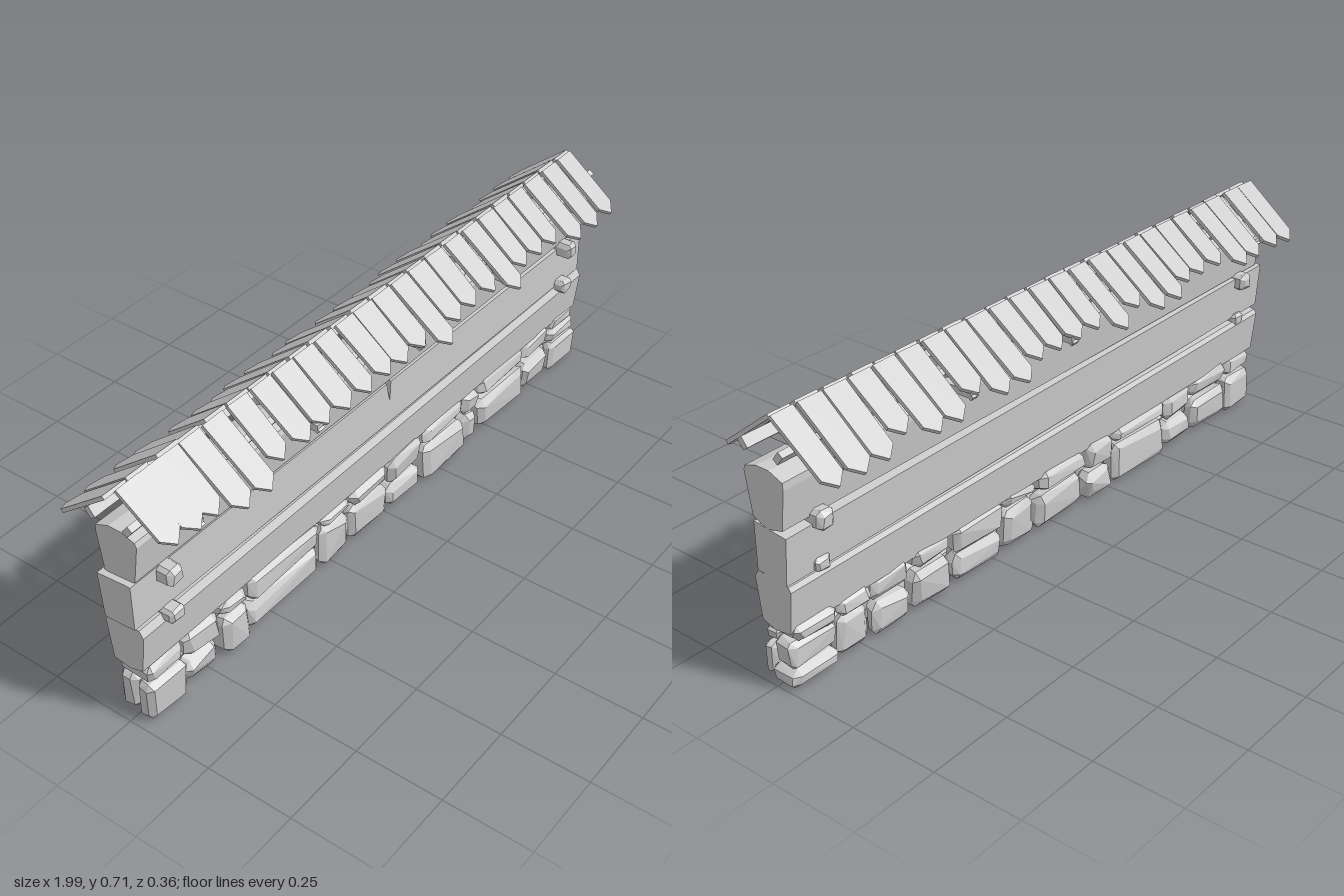
import * as THREE from 'three';
import { ConvexGeometry } from 'three/addons/geometries/ConvexGeometry.js';

const material = new THREE.MeshStandardMaterial({ color: 0xcccccc, flatShading: true });

function seeded(seed) {
  return () => {
    seed = (seed * 16807) % 2147483647;
    return seed / 2147483647;
  };
}

function add(parent, name, geometry) {
  const mesh = new THREE.Mesh(geometry, material);
  mesh.name = name;
  parent.add(mesh);
  return mesh;
}

// Block with chamfered corners, each corner nudged by the jitter amount
function chamferedBlock(x0, x1, y0, y1, z0, z1, cut, jitter, rand) {
  const points = [];
  const c = [(x0 + x1) / 2, (y0 + y1) / 2, (z0 + z1) / 2];
  const h = [(x1 - x0) / 2, (y1 - y0) / 2, (z1 - z0) / 2];
  for (const sx of [-1, 1]) for (const sy of [-1, 1]) for (const sz of [-1, 1]) {
    const s = [sx, sy, sz];
    const corner = h.map((v) => v - rand() * jitter);
    for (let axis = 0; axis < 3; axis++) {
      const p = corner.map((v, i) => c[i] + s[i] * (i === axis ? v : v - Math.min(cut * (0.6 + rand() * 0.8), v * 0.6)));
      points.push(new THREE.Vector3(...p));
    }
  }
  return new ConvexGeometry(points);
}

// Long timber: a convex [z, y] section swept along x, dropping by 'sag' towards +x
function timber(section, x0, x1, sag) {
  const points = [];
  for (const [z, y] of section) {
    points.push(new THREE.Vector3(x0, y + sag / 2, z), new THREE.Vector3(x1, y - sag / 2, z));
  }
  return new ConvexGeometry(points);
}

function buildStones() {
  const group = new THREE.Group();
  group.name = 'stoneBase';
  const rand = seeded(77);
  // Each column: left x, right x, height of the joint between its two stones
  const front = [
    [-0.84, -0.71, 0.09], [-0.71, -0.60, 0.13], [-0.60, -0.30, 0.10], [-0.30, -0.17, 0.135],
    [-0.17, 0.0, 0.125], [0.0, 0.16, 0.085], [0.16, 0.37, 0.125], [0.37, 0.45, 0.10],
    [0.45, 0.70, 0.115], [0.70, 0.84, 0.105]];
  const back = [
    [-0.84, -0.66, 0.11], [-0.66, -0.52, 0.09], [-0.52, -0.26, 0.125], [-0.26, -0.13, 0.09],
    [-0.13, 0.08, 0.115], [0.08, 0.22, 0.13], [0.22, 0.42, 0.09], [0.42, 0.58, 0.12],
    [0.58, 0.72, 0.10], [0.72, 0.84, 0.12]];
  for (const [columns, side] of [[front, 1], [back, -1]]) {
    for (const [x0, x1, joint] of columns) {
      for (const [y0, y1] of [[0.005, joint], [joint + 0.002, 0.185]]) {
        const out = 0.055 + rand() * 0.013;
        const z = side > 0 ? [-0.005, out] : [-out, 0.005];
        add(group, 'stone', chamferedBlock(x0 + 0.002, x1 - 0.002, y0, y1, ...z, 0.018, 0.01, rand));
      }
    }
  }
  // End stones
  const ends = [
    [-0.98, -0.84, 0.0, 0.125, 0.0, 0.062], [-0.97, -0.84, 0.0, 0.12, -0.064, 0.0],
    [-0.97, -0.84, 0.12, 0.182, -0.06, 0.055],
    [0.84, 0.995, 0.0, 0.055, -0.062, 0.03], [0.84, 0.985, 0.0, 0.10, 0.02, 0.063],
    [0.84, 0.998, 0.055, 0.136, -0.06, 0.02], [0.84, 0.98, 0.10, 0.15, 0.0, 0.058],
    [0.85, 0.985, 0.13, 0.185, -0.07, 0.05]];
  for (const e of ends) add(group, 'endStone', chamferedBlock(...e, 0.016, 0.006, rand));
  return group;
}

function buildWall() {
  const group = new THREE.Group();
  group.name = 'timberWall';
  add(group, 'lowerBeam', timber([
    [0.043, 0.175], [0.0, 0.162], [-0.05, 0.17], [-0.063, 0.29],
    [-0.055, 0.302], [0.045, 0.31], [0.057, 0.29]], -0.98, 0.99, 0.012));
  add(group, 'middleBeam', timber([
    [0.025, 0.312], [-0.05, 0.308], [-0.06, 0.44], [0.025, 0.448]], -0.992, 0.99, 0.025));
  add(group, 'upperBeam', timber([
    [0.045, 0.458], [0.0, 0.438], [-0.05, 0.45], [-0.064, 0.56], [-0.063, 0.58],
    [-0.02, 0.597], [0.02, 0.597], [0.058, 0.585], [0.063, 0.572]], -0.975, 0.99, 0.012));

  // Front face of the middle beam, with a split in its upper edge
  const face = new THREE.Shape([
    [-0.992, 0.327], [0.99, 0.305], [0.99, 0.437], [0.014, 0.449],
    [0.01, 0.388], [0.002, 0.42], [-0.004, 0.45], [-0.992, 0.461]].map(([x, y]) => new THREE.Vector2(x, y)));
  add(group, 'middleBeamFace', new THREE.ExtrudeGeometry(face, { depth: 0.021, bevelEnabled: false }))
    .position.z = 0.024;

  // Pegs through the joints
  const rand = seeded(9);
  for (const x of [-0.88, 0.88]) {
    add(group, 'upperPeg', chamferedBlock(x - 0.028, x + 0.028, 0.41, 0.463, -0.087, 0.091, 0.012, 0.003, rand));
    add(group, 'lowerPeg', chamferedBlock(x - 0.026, x + 0.026, 0.288, 0.33, -0.066, 0.081, 0.009, 0.003, rand));
  }
  return group;
}

// One roof slope facing +z; each board is a pointed plank hanging from the ridge
function buildSlope(name, centres, longOnes, rand) {
  const slope = new THREE.Group();
  slope.name = name;
  slope.position.set(0, 0.703, -0.002);
  slope.rotation.x = Math.atan2(0.135, 0.172) - Math.PI / 2;
  centres.forEach((x, i) => {
    const length = (longOnes.includes(i) ? 0.216 : 0.18) + rand() * 0.006;
    const w = 0.034 + rand() * 0.004;
    const outline = new THREE.Shape([
      [-w, 0], [-w * 0.95, -length + 0.03], [0, -length], [w * 0.95, -length + 0.03], [w, 0]]
      .map(([u, v]) => new THREE.Vector2(u, v)));
    const board = add(slope, 'roofBoard', new THREE.ExtrudeGeometry(outline, { depth: 0.011, bevelEnabled: false }));
    board.position.set(x, 0, rand() * 0.003);
    board.rotation.z = (rand() - 0.5) * 0.05;
  });
  // Purlin under the boards
  add(slope, 'purlin', new THREE.BoxGeometry(1.985, 0.018, 0.03)).position.set(0, -0.088, -0.017);
  // Rafters
  for (const x of [-0.84, -0.4, 0.03, 0.425, 0.86].map((v) => (name === 'backSlope' ? -v : v))) {
    add(slope, 'rafter', new THREE.BoxGeometry(0.022, 0.18, 0.014)).position.set(x, -0.092, -0.008);
  }
  return slope;
}

function buildRoof() {
  const group = new THREE.Group();
  group.name = 'roof';
  const rand = seeded(41);
  const frontX = [-0.93, -0.86, -0.795, -0.72, -0.64, -0.55, -0.465, -0.38, -0.3, -0.22, -0.135, -0.06,
    0.02, 0.1, 0.18, 0.26, 0.345, 0.43, 0.51, 0.585, 0.66, 0.75, 0.84, 0.925];
  const backX = [-0.96, -0.885, -0.785, -0.715, -0.62, -0.54, -0.465, -0.39, -0.31, -0.23, -0.145, -0.06,
    0.02, 0.1, 0.18, 0.265, 0.345, 0.425, 0.515, 0.6, 0.68, 0.76, 0.84, 0.925];
  group.add(buildSlope('frontSlope', frontX, [3, 4, 13, 17, 21, 22, 23], rand));
  const turned = new THREE.Group();
  turned.name = 'backRoof';
  turned.rotation.y = Math.PI;
  turned.add(buildSlope('backSlope', backX.map((x) => -x), [0, 1, 2, 3, 7, 8, 10, 15, 16, 18, 19, 21, 22, 23], rand));
  group.add(turned);
  // Cross ties resting on the wall
  for (const x of [-0.84, -0.4, 0.03, 0.425, 0.86]) {
    add(group, 'crossTie', new THREE.BoxGeometry(0.024, 0.02, 0.27)).position.set(x, 0.595, 0);
  }
  return group;
}

export function createModel() {
  const model = new THREE.Group();
  model.name = 'roofedWall';
  model.add(buildStones(), buildWall(), buildRoof());
  return model;
}
